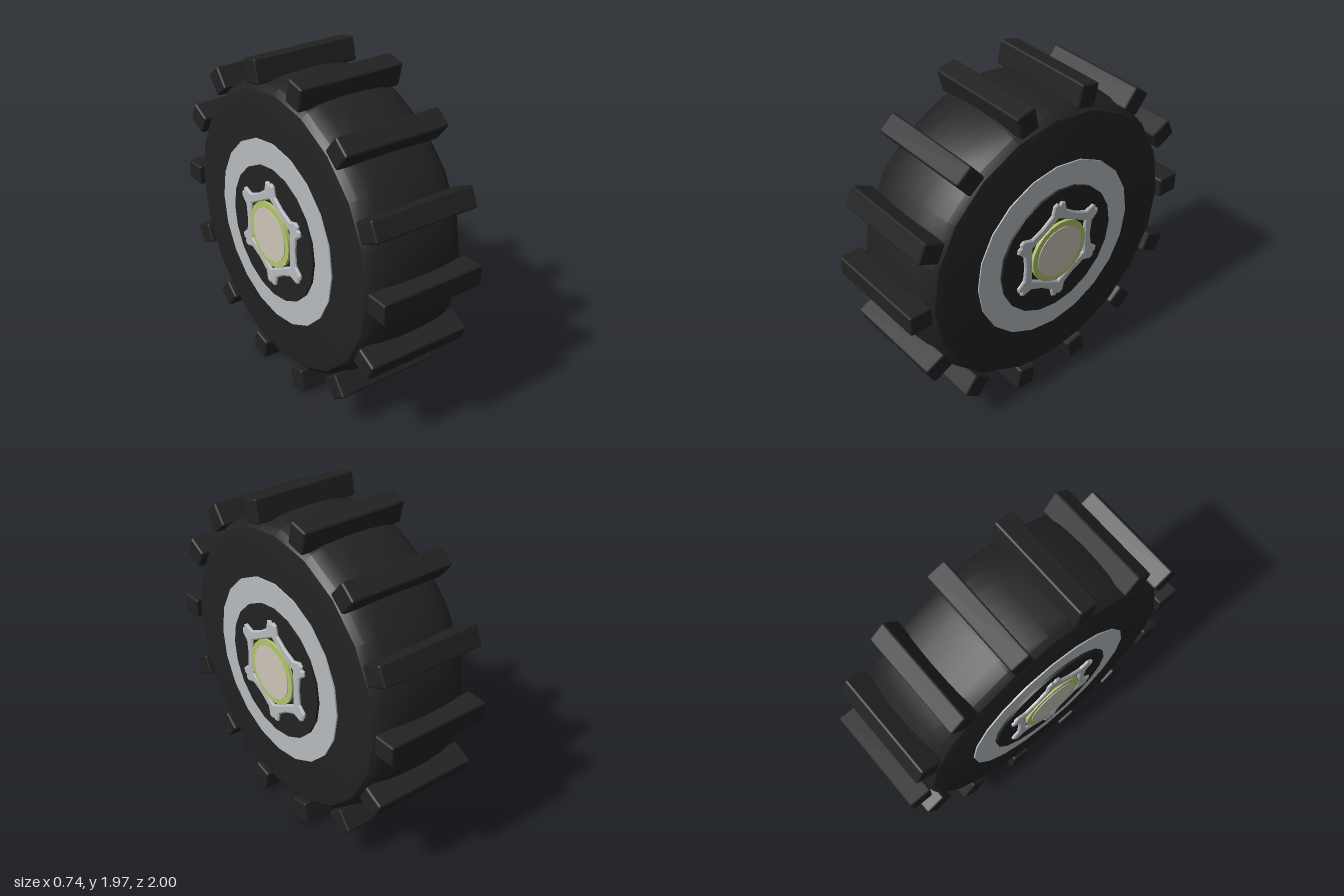
import * as THREE from 'three';
import { toCreasedNormals } from 'three/addons/utils/BufferGeometryUtils.js';
import { RoundedBoxGeometry } from 'three/addons/geometries/RoundedBoxGeometry.js';

const SIDES = 20;
const LUGS = 14;
const CENTRE_Y = 0.988;

function material(name, color) {
  const m = new THREE.MeshStandardMaterial({ color });
  m.name = name;
  return m;
}

// Revolves [radius, x] points around the axle (x axis)
function revolve(name, points, mat) {
  const lathe = new THREE.LatheGeometry(points.map(([r, x]) => new THREE.Vector2(r, x)), SIDES);
  lathe.rotateZ(-Math.PI / 2);
  const mesh = new THREE.Mesh(toCreasedNormals(lathe, 0.5), mat);
  mesh.name = name;
  return mesh;
}

// Flat band between two radii, from x0 out to x1
function band(name, inner, outer, x0, x1, mat) {
  return revolve(name, [[outer, x0], [outer, x1], [inner, x1]], mat);
}

// Hexagonal nut frame with a small notched knob on each corner
function nutFrame(mat) {
  const shape = new THREE.Shape();
  const corner = [[-30, 0.237], [-10, 0.262], [-6, 0.316], [-3, 0.322], [0, 0.308],
    [3, 0.322], [6, 0.316], [10, 0.262]];
  const outline = [];
  const hole = [];
  for (let k = 0; k < 6; k++) {
    for (const [deg, r] of corner) {
      const a = THREE.MathUtils.degToRad(90 + 60 * k + deg);
      outline.push(new THREE.Vector2(Math.cos(a) * r, Math.sin(a) * r));
    }
    const a = THREE.MathUtils.degToRad(90 - 60 * k);
    hole.push(new THREE.Vector2(Math.cos(a) * 0.237, Math.sin(a) * 0.237));
  }
  shape.setFromPoints(outline);
  shape.holes.push(new THREE.Path(hole));
  const geo = new THREE.ExtrudeGeometry(shape, {
    depth: 0.012, bevelEnabled: true, bevelThickness: 0.006, bevelSize: 0.009, bevelSegments: 1,
  });
  geo.rotateY(Math.PI / 2);
  geo.translate(0.344, 0, 0);
  const mesh = new THREE.Mesh(geo, mat);
  mesh.name = 'hexNut';
  return mesh;
}

export function createModel() {
  const rubber = material('black rubber', 0x222222);
  const metal = material('light grey metal', 0xb6bbbf);
  const green = material('pale green', 0xb1c46c);
  const beige = material('warm beige', 0xcbc4b8);

  const model = new THREE.Group();
  model.name = 'wheel';
  const wheel = new THREE.Group();
  wheel.name = 'wheelAssembly';
  wheel.position.y = CENTRE_Y;
  model.add(wheel);

  // Tyre with rounded shoulders
  const half = [[0, 0.325], [0.79, 0.325], [0.835, 0.315], [0.865, 0.28], [0.888, 0.2], [0.897, 0.1]];
  const profile = [
    ...half.map(([r, x]) => [r, -x]),
    [0.9, 0],
    ...half.slice().reverse(),
  ];
  wheel.add(revolve('tyre', profile, rubber));

  // Tread lugs
  const lugGeo = new RoundedBoxGeometry(0.66, 0.124, 0.14, 1, 0.012);
  for (let k = 0; k < LUGS; k++) {
    const a = (k / LUGS) * Math.PI * 2;
    const lug = new THREE.Mesh(lugGeo, rubber);
    lug.name = 'treadLug';
    lug.rotation.x = -a;
    lug.position.set(0, Math.sin(a) * 0.93, Math.cos(a) * 0.93);
    wheel.add(lug);
  }

  // Hub layers, the same on both faces
  for (const side of [1, -1]) {
    const hub = new THREE.Group();
    hub.name = side > 0 ? 'leftHub' : 'rightHub';
    if (side < 0) hub.rotation.y = Math.PI;
    hub.add(
      band('rimRing', 0.38, 0.556, 0.32, 0.333, metal),
      band('hubDisc', 0, 0.405, 0.32, 0.347, rubber),
      nutFrame(metal),
      band('axleRing', 0.15, 0.198, 0.34, 0.366, green),
      band('axleCap', 0, 0.162, 0.34, 0.37, beige),
    );
    wheel.add(hub);
  }
  return model;
}
